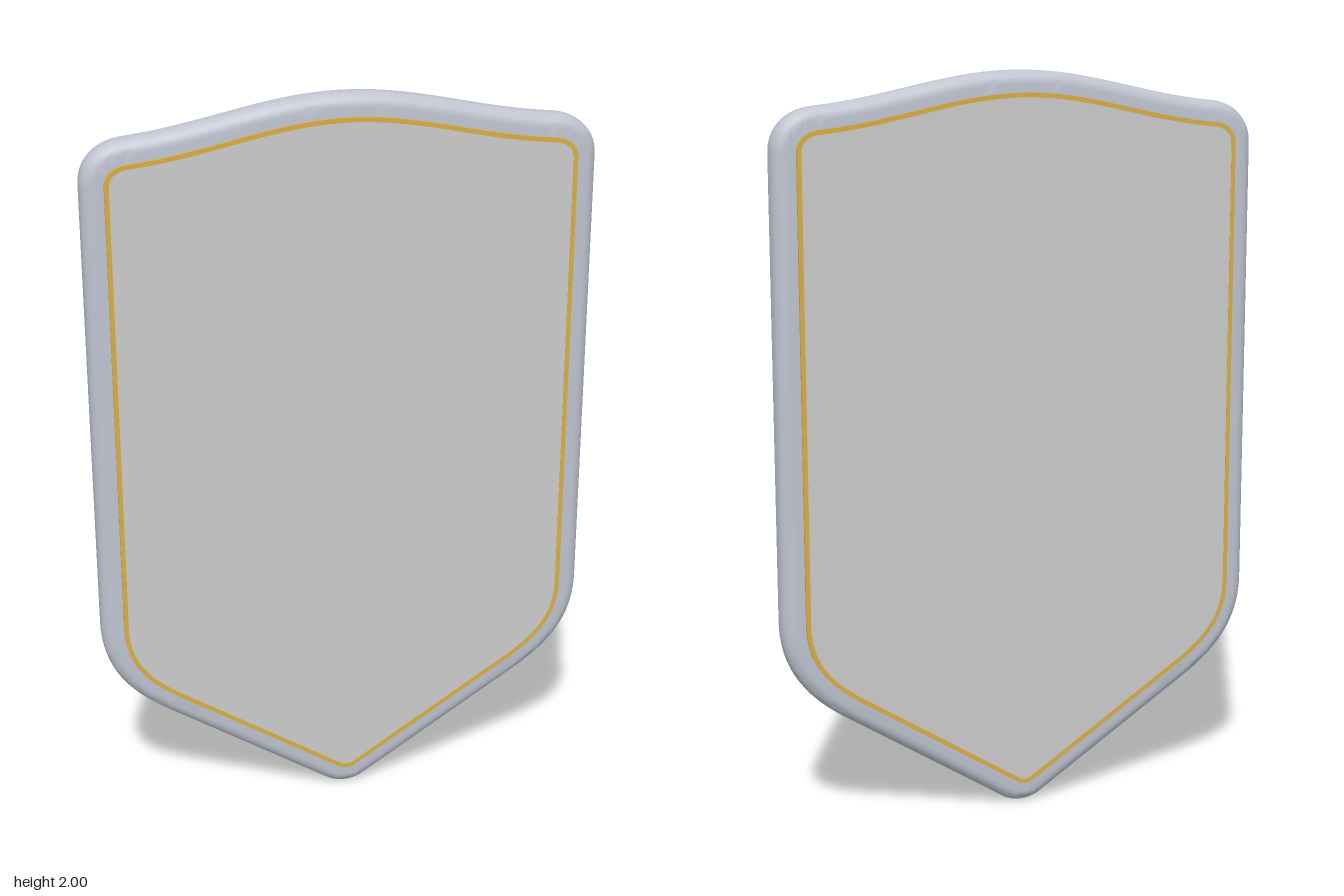
import * as THREE from 'three';
import { toCreasedNormals } from 'three/addons/utils/BufferGeometryUtils.js';

const V = (x, y) => new THREE.Vector2(x, y);

// Shield outline, counterclockwise: points with inward normals, mirrored from the right half.
function shieldOutline() {
  const curves = [
    [new THREE.QuadraticBezierCurve(V(0, 0), V(0.03, 0), V(0.055, 0.016)), 8],
    [new THREE.LineCurve(V(0.055, 0.016), V(0.5, 0.3)), 4],
    [new THREE.CubicBezierCurve(V(0.5, 0.3), V(0.61, 0.37), V(0.675, 0.45), V(0.675, 0.58)), 18],
    [new THREE.LineCurve(V(0.675, 0.58), V(0.675, 1.8)), 4],
    [new THREE.CubicBezierCurve(V(0.675, 1.8), V(0.675, 1.87), V(0.62, 1.91), V(0.56, 1.915)), 14],
    [new THREE.CubicBezierCurve(V(0.56, 1.915), V(0.35, 1.935), V(0.2, 2), V(0, 2)), 24],
  ];
  const half = [];
  for (const [curve, n] of curves) {
    for (let i = 0; i < n; i++) {
      const t = curve.getTangent(i / n);
      half.push({ p: curve.getPoint(i / n), n: V(-t.y, t.x) });
    }
  }
  const mirrored = half.slice(1).reverse().map(({ p, n }) => ({ p: V(-p.x, p.y), n: V(-n.x, n.y) }));
  return [...half, { p: V(0, 2), n: V(0, -1) }, ...mirrored];
}

const OUTLINE = shieldOutline();
const inset = (d) => OUTLINE.map(({ p, n }) => p.clone().addScaledVector(n, d));

// Sweeps a closed (inset, z) profile around the outline.
function frameGeometry(profile) {
  const positions = [], index = [];
  const m = OUTLINE.length, k = profile.length;
  for (const [d, z] of profile) {
    for (const p of inset(d)) positions.push(p.x, p.y, z);
  }
  for (let i = 0; i < k; i++) {
    for (let j = 0; j < m; j++) {
      const i2 = (i + 1) % k, j2 = (j + 1) % m;
      const a = i * m + j, b = i * m + j2, c = i2 * m + j2, e = i2 * m + j;
      index.push(a, b, c, a, c, e);
    }
  }
  const g = new THREE.BufferGeometry();
  g.setAttribute('position', new THREE.Float32BufferAttribute(positions, 3));
  g.setIndex(index);
  return toCreasedNormals(g, 0.6);
}

// Rim section: rounded on the outer edge, square on the inner.
function rimProfile(halfDepth, radius, width) {
  const pts = [];
  for (const side of [-1, 1]) {
    for (let i = 0; i <= 6; i++) {
      const a = (side < 0 ? 1 - i / 6 : i / 6) * Math.PI / 2;
      pts.push([radius * (1 - Math.cos(a)), side * (halfDepth - radius + radius * Math.sin(a))]);
    }
  }
  pts.push([width, halfDepth], [width, -halfDepth]);
  return pts;
}

export function createModel() {
  const group = new THREE.Group();
  const add = (name, geometry, color) => {
    const mesh = new THREE.Mesh(geometry, new THREE.MeshStandardMaterial({ color }));
    mesh.name = name;
    group.add(mesh);
  };

  // Rounded metal rim
  add('rim', frameGeometry(rimProfile(0.043, 0.035, 0.07)), 0xbfc4d0);

  // Thin gold border standing proud of the rim on both faces
  add('goldTrim', frameGeometry([[0.058, -0.05], [0.058, 0.05], [0.07, 0.05], [0.07, -0.05]]), 0xd9ae45);

  // Flat panel filling the border, nearly flush with it
  const panel = new THREE.ExtrudeGeometry(new THREE.Shape(inset(0.069)), { depth: 0.098, bevelEnabled: false });
  panel.translate(0, 0, -0.049);
  add('panel', panel, 0xcccccc);

  return group;
}
